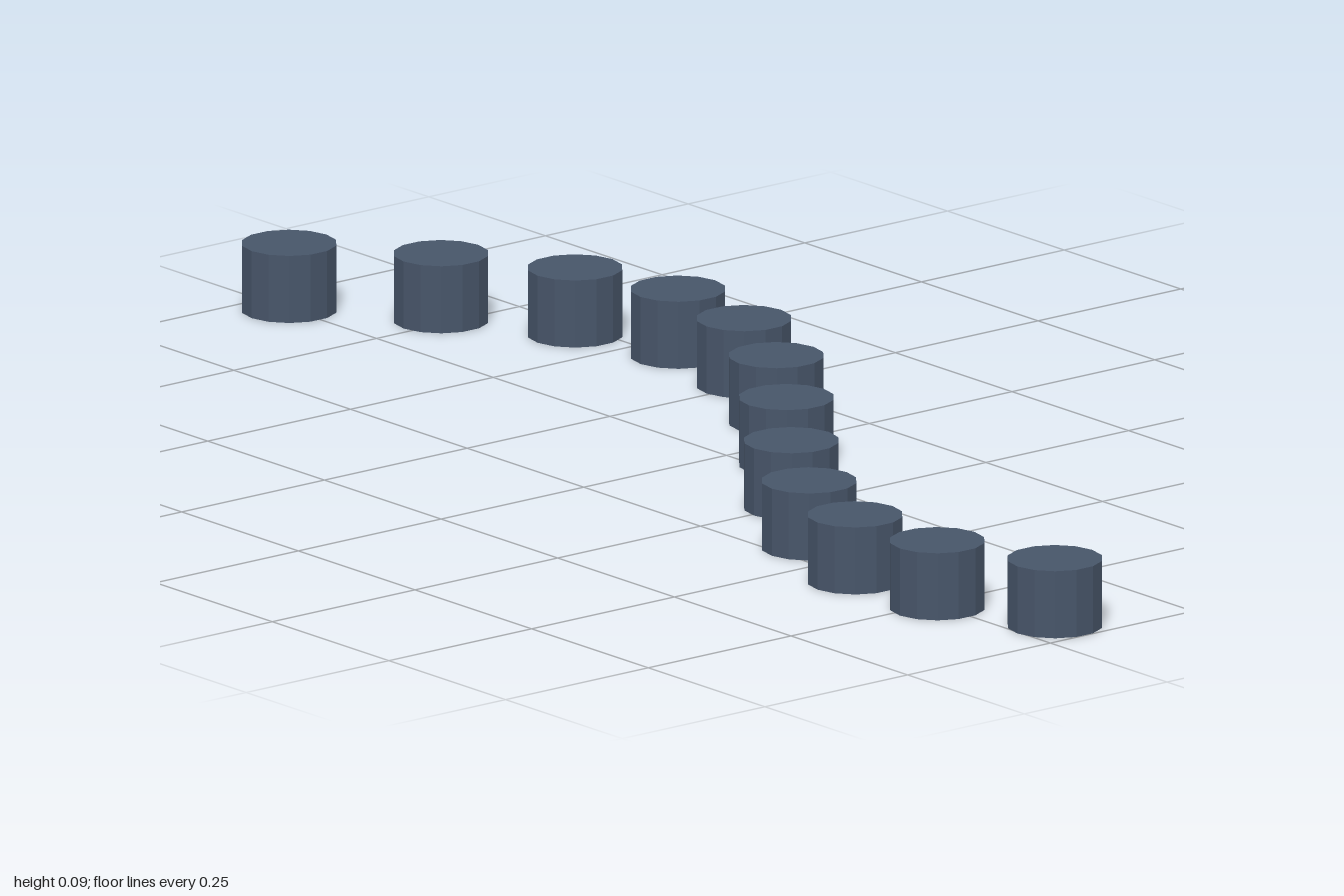
import * as THREE from 'three';

// A row of short round studs following a sine wave.
export function createModel() {
  const group = new THREE.Group();
  group.name = 'studRow';
  const slate = new THREE.MeshStandardMaterial({ color: 0x475569, flatShading: true });
  slate.name = 'slate';

  const count = 12, spacing = 0.17, radius = 0.0655, height = 0.0945, swing = 0.265;
  const studGeometry = new THREE.CylinderGeometry(radius, radius, height, 14);

  for (let i = 0; i < count; i++) {
    const stud = new THREE.Mesh(studGeometry, slate);
    stud.name = `stud${i + 1}`;
    stud.position.set((i - (count - 1) / 2) * spacing, height / 2, 0.002 - swing * Math.sin(i * 0.5));
    group.add(stud);
  }
  return group;
}
